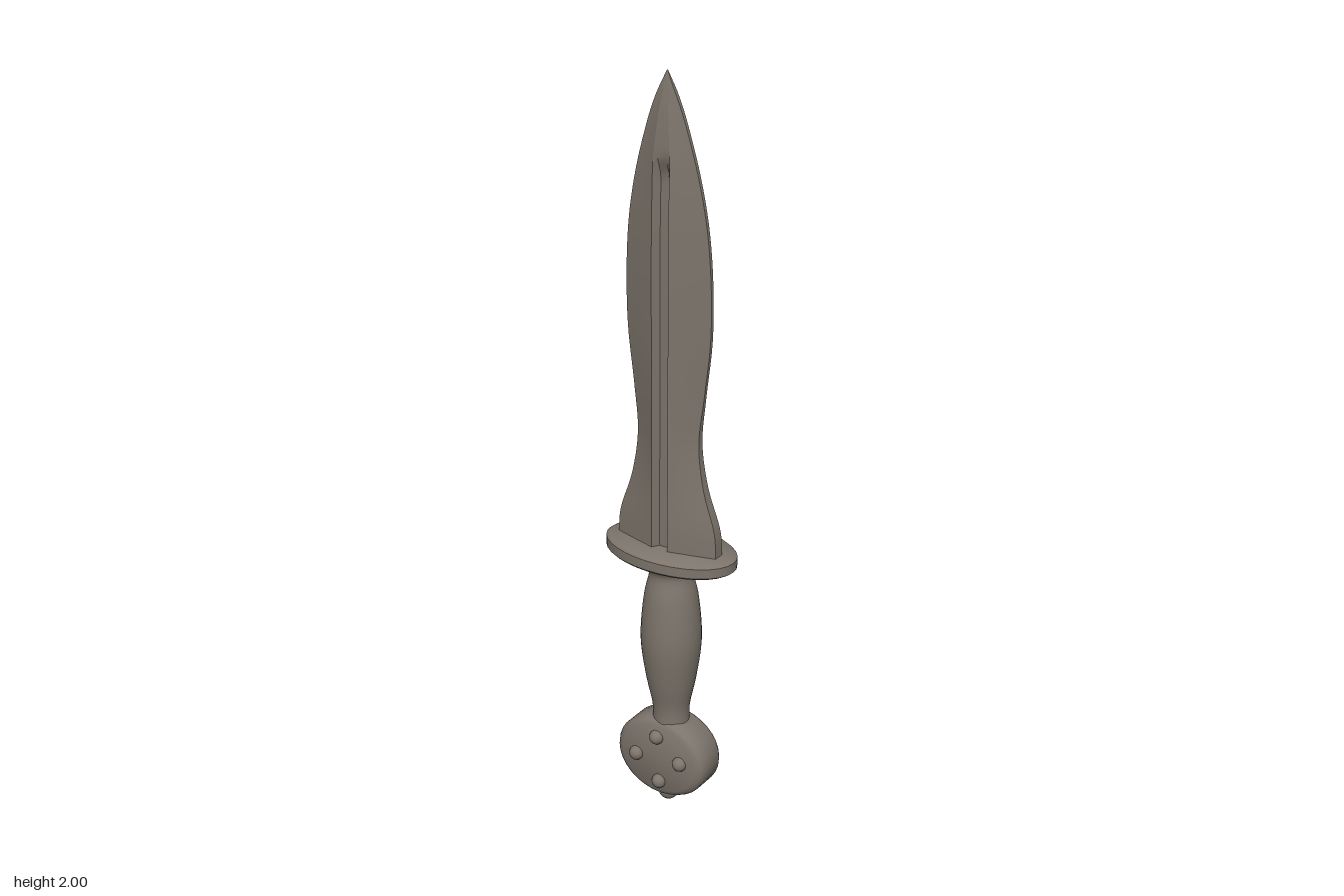
import * as THREE from 'three';
import { toCreasedNormals } from 'three/addons/utils/BufferGeometryUtils.js';

const V3 = (x, y, z) => new THREE.Vector3(x, y, z);

// Fullered, leaf-shaped blade lofted from twelve-point cross-sections
function bladeGeometry() {
  // each knot: half width, height, half thickness
  const outline = new THREE.CatmullRomCurve3([
    V3(0.148, 0.765, 0.05), V3(0.143, 0.84, 0.05), V3(0.108, 0.95, 0.049),
    V3(0.091, 1.07, 0.048), V3(0.104, 1.2, 0.047), V3(0.121, 1.35, 0.046),
    V3(0.122, 1.5, 0.044), V3(0.112, 1.63, 0.039), V3(0.092, 1.74, 0.033),
    V3(0.068, 1.83, 0.026), V3(0.038, 1.92, 0.015), V3(0.001, 2, 0.001)
  ]);
  const rows = outline.getPoints(55);
  const pos = [], index = [], n = 12;
  rows.forEach(({ x: w, y, z: d }, i) => {
    const groove = THREE.MathUtils.clamp((1.8 - y) / 0.05, 0, 1);
    const edge = Math.min(d * 0.6, THREE.MathUtils.mapLinear(THREE.MathUtils.clamp(y, 0.78, 1.2), 0.78, 1.2, 0.016, 0.005));
    const ridge = Math.min(0.024, w * 0.3);
    const floor = d - 0.02 * groove;
    const side = [[w, edge], [w * 0.6, edge + (d - edge) * 0.5], [ridge, d],
      [ridge * 0.5, floor], [-ridge * 0.5, floor], [-ridge, d]];
    const half = [...side, [-w * 0.6, side[1][1]], [-w, edge]];
    // front half, then the back half without the repeated mid-face points
    const ring = [...half, ...half.map(([x, z]) => [-x, -z])];
    const lean = 0.01 * THREE.MathUtils.smoothstep(y, 1.3, 2);
    ring.forEach(([x, z]) => pos.push(x - 0.004, y, z + lean));
    if (!i) return;
    const m = ring.length;
    for (let j = 0; j < m; j++) {
      const a = (i - 1) * m + j, b = (i - 1) * m + (j + 1) % m;
      index.push(a, a + m, b, b, a + m, b + m);
    }
  });
  const g = new THREE.BufferGeometry();
  g.setAttribute('position', new THREE.Float32BufferAttribute(pos, 3));
  g.setIndex(index);
  return toCreasedNormals(g, 0.4);
}

// Turned form from [radius, height] pairs, with sharp corners kept
function turned(points, segments = 32, crease = 0.7) {
  const g = new THREE.LatheGeometry(points.map(([r, y]) => new THREE.Vector2(r, y)), segments);
  return toCreasedNormals(g, crease);
}

export function createModel() {
  const group = new THREE.Group();
  const metal = new THREE.MeshStandardMaterial({ color: 0x7d756c });
  metal.name = 'weathered metal';

  function add(name, geometry, x = 0, y = 0, z = 0) {
    const mesh = new THREE.Mesh(geometry, metal);
    mesh.name = name;
    mesh.position.set(x, y, z);
    group.add(mesh);
    return mesh;
  }

  add('blade', bladeGeometry());

  // Oval guard plate, tipped slightly
  const guard = add('guard', turned([[0, -0.019], [0.178, -0.019], [0.187, -0.013],
    [0.187, 0.013], [0.178, 0.019], [0, 0.019]]), 0, 0.757, 0);
  guard.scale.z = 0.605;
  guard.rotation.z = -0.015;

  // Swelling grip
  const gripCurve = new THREE.SplineCurve([[0.05, 0.24], [0.05, 0.3], [0.066, 0.38], [0.079, 0.47],
    [0.08, 0.54], [0.071, 0.63], [0.058, 0.69], [0.066, 0.715]].map(p => new THREE.Vector2(...p)));
  add('grip', new THREE.LatheGeometry(gripCurve.getPoints(32), 32), 0, 0, 0).scale.z = 0.98;

  // Oval collar under the guard
  add('collar', turned([[0.058, 0.695], [0.078, 0.72], [0.082, 0.732], [0.08, 0.745]]), 0, 0, 0).scale.z = 0.8;

  // Oval disc pommel facing front and back
  const pommel = add('pommel', turned([[0, -0.053], [0.115, -0.053], [0.13, -0.046], [0.137, -0.034],
    [0.137, 0.034], [0.13, 0.046], [0.115, 0.053], [0, 0.053]]), -0.007, 0.152, 0);
  pommel.rotation.x = Math.PI / 2;
  pommel.scale.z = 0.85;

  // Four domed studs on each face of the pommel
  const stud = new THREE.SphereGeometry(0.02, 16, 10);
  for (const side of [1, -1]) {
    for (const [x, y] of [[-0.012, 0.217], [-0.077, 0.147], [0.06, 0.157], [-0.005, 0.083]]) {
      add(side > 0 ? 'frontStud' : 'backStud', stud, x, y, side * 0.053);
    }
  }

  // Rounded button at the foot
  add('footStud', new THREE.SphereGeometry(0.028, 20, 12), -0.008, 0.028, 0);

  return group;
}
